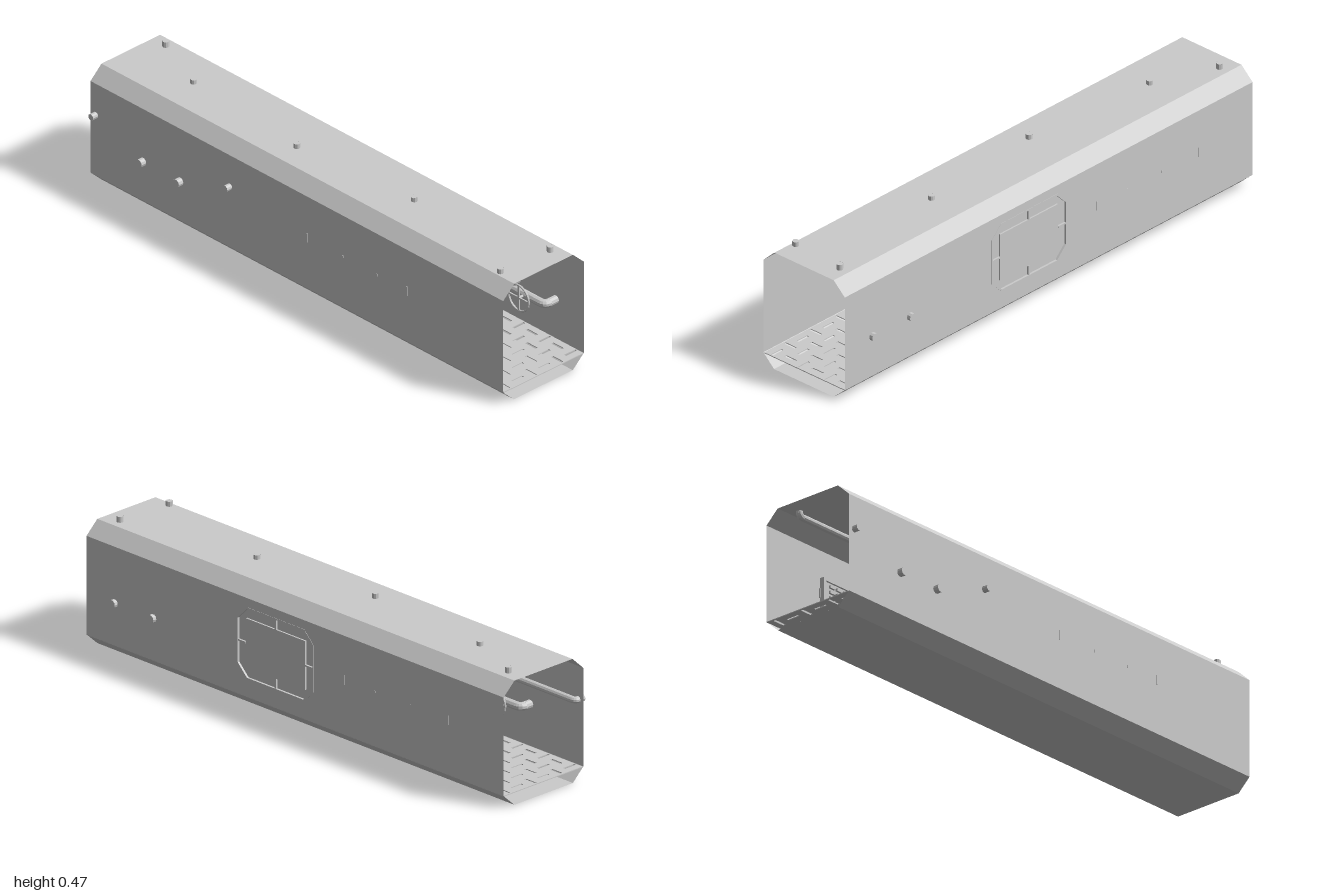
import * as THREE from 'three';

const V = (x, y, z) => new THREE.Vector3(x, y, z);
const mat = new THREE.MeshStandardMaterial({ color: 0xcccccc, flatShading: true, side: THREE.DoubleSide });

function add(parent, name, geo, x = 0, y = 0, z = 0) {
  const m = new THREE.Mesh(geo, mat);
  m.name = name;
  m.position.set(x, y, z);
  parent.add(m);
  return m;
}

const box = (w, h, d) => new THREE.BoxGeometry(w, h, d);
const poly = (pts) => new THREE.Shape(pts.map(([a, b]) => new THREE.Vector2(a, b)));

// Shapes drawn in (y, z), facing +x
const sideways = (geo) => geo.applyMatrix4(new THREE.Matrix4().makeBasis(V(0, 1, 0), V(0, 0, 1), V(1, 0, 0)));

// Chamfered and plain rectangles in (y, z)
const rect = (y0, y1, z0, z1) => poly([[y0, z0], [y1, z0], [y1, z1], [y0, z1]]);
const octagon = (y0, y1, z0, z1, c) => poly([
  [y0 + c, z0], [y1 - c, z0], [y1, z0 + c], [y1, z1 - c],
  [y1 - c, z1], [y0 + c, z1], [y0, z1 - c], [y0, z0 + c]]);

// Pipe that leaves a wall, bends, runs along and bends back into the wall
function pipe(parent, name, a, b, out, r) {
  const bend = r * 1.3;
  const p = a.clone().add(out), q = b.clone().add(out);
  const o = out.clone().normalize().multiplyScalar(bend);
  const d = q.clone().sub(p).normalize().multiplyScalar(bend);
  const path = [a, p.clone().sub(o), p.clone().add(d), q.clone().sub(d), q.clone().sub(o), b];
  const g = new THREE.Group();
  g.name = name;
  parent.add(g);
  const curves = [
    [new THREE.LineCurve3(path[0], path[1]), 1],
    [new THREE.QuadraticBezierCurve3(path[1], p, path[2]), 5],
    [new THREE.LineCurve3(path[2], path[3]), 1],
    [new THREE.QuadraticBezierCurve3(path[3], q, path[4]), 5],
    [new THREE.LineCurve3(path[4], path[5]), 1]];
  for (const [c, n] of curves) add(g, 'pipeSection', new THREE.TubeGeometry(c, n, r, 10));
  for (const end of [a, b]) {
    const cap = add(g, 'pipeEnd', new THREE.CircleGeometry(r, 10), end.x, end.y, end.z);
    cap.quaternion.setFromUnitVectors(V(0, 0, 1), out.clone().negate().normalize());
  }
}

// Short wall pipe with a hand wheel; s = side of the corridor
function valve(parent, s, z0, z1) {
  const g = new THREE.Group();
  g.name = s > 0 ? 'leftValve' : 'rightValve';
  parent.add(g);
  pipe(g, 'valvePipe', V(s * 0.205, 0.2, z0), V(s * 0.205, 0.2, z1), V(-s * 0.066, 0, 0), 0.015);
  const z = (z0 + z1) / 2;
  add(g, 'valveStem', new THREE.CylinderGeometry(0.005, 0.005, 0.034, 8), s * 0.122, 0.2, z).rotation.z = Math.PI / 2;
  add(g, 'handWheel', new THREE.TorusGeometry(0.049, 0.004, 6, 20), s * 0.107, 0.2, z).rotation.y = Math.PI / 2;
  for (let i = 0; i < 2; i++) {
    add(g, 'wheelSpoke', box(0.005, 0.096, 0.006), s * 0.107, 0.2, z).rotation.x = i * Math.PI / 2;
  }
}

// Wall console with end bars, a screen and rows of keys
function wallPanel(parent, s, z0, z1) {
  const g = new THREE.Group();
  g.name = s > 0 ? 'leftWallPanel' : 'rightWallPanel';
  parent.add(g);
  const wall = s > 0 ? 0.19 : 0.184, mid = (z0 + z1) / 2, len = z1 - z0;
  add(g, 'panelPlate', box(0.008, 0.135, len), s * (wall - 0.005), 0.228, mid);
  for (const z of [z0 + 0.006, z1 - 0.006]) add(g, 'panelEndBar', box(0.018, 0.145, 0.012), s * (wall - 0.01), 0.228, z);
  for (const y of [0.16, 0.296]) add(g, 'panelRail', box(0.014, 0.007, len), s * (wall - 0.009), y, mid);
  add(g, 'panelScreen', box(0.008, 0.09, 0.13), s * (wall - 0.011), 0.228, mid);
  for (const side of [-1, 1]) {
    for (let r = 0; r < 6; r++) {
      for (let c = 0; c < 4; c++) {
        add(g, 'panelKey', box(0.01, 0.01, 0.024), s * (wall - 0.012), 0.178 + r * 0.02, mid + side * (0.1 + c * 0.034));
      }
    }
  }
  // Bolts just reaching through the wall
  for (const t of [0, 0.36, 0.7, 1]) {
    add(g, 'panelBolt', box(0.006, t % 1 ? 0.008 : 0.035, 0.004), s * wall, 0.245, z0 + t * len);
  }
}

// Floor plate with alternating slots
function floorGrating() {
  const w = 0.37, nx = 6, nz = 32, cx = w / nx, cz = 2 / nz;
  const shape = poly([[-w / 2, -1], [w / 2, -1], [w / 2, 1], [-w / 2, 1]]);
  for (let i = 0; i < nx; i++) {
    for (let j = 0; j < nz; j++) {
      const x = -w / 2 + (i + 0.5) * cx, z = -1 + (j + 0.5) * cz;
      const [a, b] = (i + j) % 2 ? [0.025, 0.005] : [0.005, 0.025];
      shape.holes.push(poly([[x - a, z - b], [x - a, z + b], [x + a, z + b], [x + a, z - b]]));
    }
  }
  return new THREE.ExtrudeGeometry(shape, { depth: 0.003, bevelEnabled: false }).rotateX(-Math.PI / 2);
}

export function createModel() {
  const model = new THREE.Group();
  model.name = 'corridor';

  // Thin eight-sided shell, open at both ends
  const shell = new THREE.Group();
  shell.name = 'shell';
  model.add(shell);
  const profile = [[-0.135, 0.001], [0.14, 0.001], [0.191, 0.047], [0.191, 0.405],
    [0.14, 0.452], [-0.133, 0.452], [-0.184, 0.405], [-0.184, 0.047]];
  const names = ['bottom', 'lowerLeftChamfer', 'leftWall', 'upperLeftChamfer',
    'ceiling', 'upperRightChamfer', 'rightWall', 'lowerRightChamfer'];
  const frame = () => octagon(0.11, 0.372, -0.09, 0.28, 0.046);
  profile.forEach((p, i) => {
    if (names[i] === 'leftWall') {
      const wall = rect(p[1], 0.405, -1, 1);
      wall.holes.push(frame());
      add(shell, 'leftWall', sideways(new THREE.ShapeGeometry(wall)), p[0]);
      return;
    }
    const q = profile[(i + 1) % 8];
    const len = Math.hypot(q[0] - p[0], q[1] - p[1]);
    const ux = (q[0] - p[0]) / len, uy = (q[1] - p[1]) / len;
    const geo = new THREE.PlaneGeometry(len, 2)
      .applyMatrix4(new THREE.Matrix4().makeBasis(V(ux, uy, 0), V(0, 0, 1), V(uy, -ux, 0)));
    add(shell, names[i], geo, (p[0] + q[0]) / 2, (p[1] + q[1]) / 2);
  });

  add(model, 'floorGrating', floorGrating(), 0.005, 0.045, 0);

  // Window: chamfered rim, recessed surround, pane and four joints
  const win = new THREE.Group();
  win.name = 'window';
  model.add(win);
  const solid = (shape, depth) => sideways(new THREE.ExtrudeGeometry(shape, { depth, bevelEnabled: false }));
  const rim = frame();
  rim.holes.push(octagon(0.116, 0.366, -0.084, 0.274, 0.044));
  add(win, 'windowRim', solid(rim, 0.014), 0.178);
  const surround = octagon(0.116, 0.366, -0.084, 0.274, 0.044);
  surround.holes.push(rect(0.152, 0.33, -0.047, 0.237));
  add(win, 'windowSurround', solid(surround, 0.006), 0.178);
  add(win, 'windowPane', solid(rect(0.152, 0.33, -0.047, 0.237), 0.011), 0.179);
  for (const s of [-1, 1]) {
    add(win, 'windowJoint', box(0.012, 0.036, 0.006), 0.185, 0.241 + s * 0.107, 0.095);
    add(win, 'windowJoint', box(0.012, 0.006, 0.037), 0.185, 0.241, 0.095 + s * 0.1605);
  }

  // Ceiling and wall pipes
  const drop = V(0, -0.039, 0);
  pipe(model, 'ceilingPipe', V(0.102, 0.473, -0.933), V(0.102, 0.473, 0.93), drop, 0.012);
  pipe(model, 'ceilingPipe', V(0.003, 0.468, -0.695), V(0.003, 0.468, 0.375), drop, 0.012);
  pipe(model, 'ceilingPipe', V(-0.04, 0.47, -0.15), V(-0.115, 0.47, 0.915), drop, 0.012);
  pipe(model, 'wallPipe', V(-0.207, 0.283, -0.975), V(-0.207, 0.283, -0.325), V(0.037, 0, 0), 0.012);

  valve(model, 1, 0.68, 0.865);
  valve(model, -1, -0.745, -0.565);
  wallPanel(model, 1, -0.735, -0.235);
  wallPanel(model, -1, 0.05, 0.535);
  return model;
}
